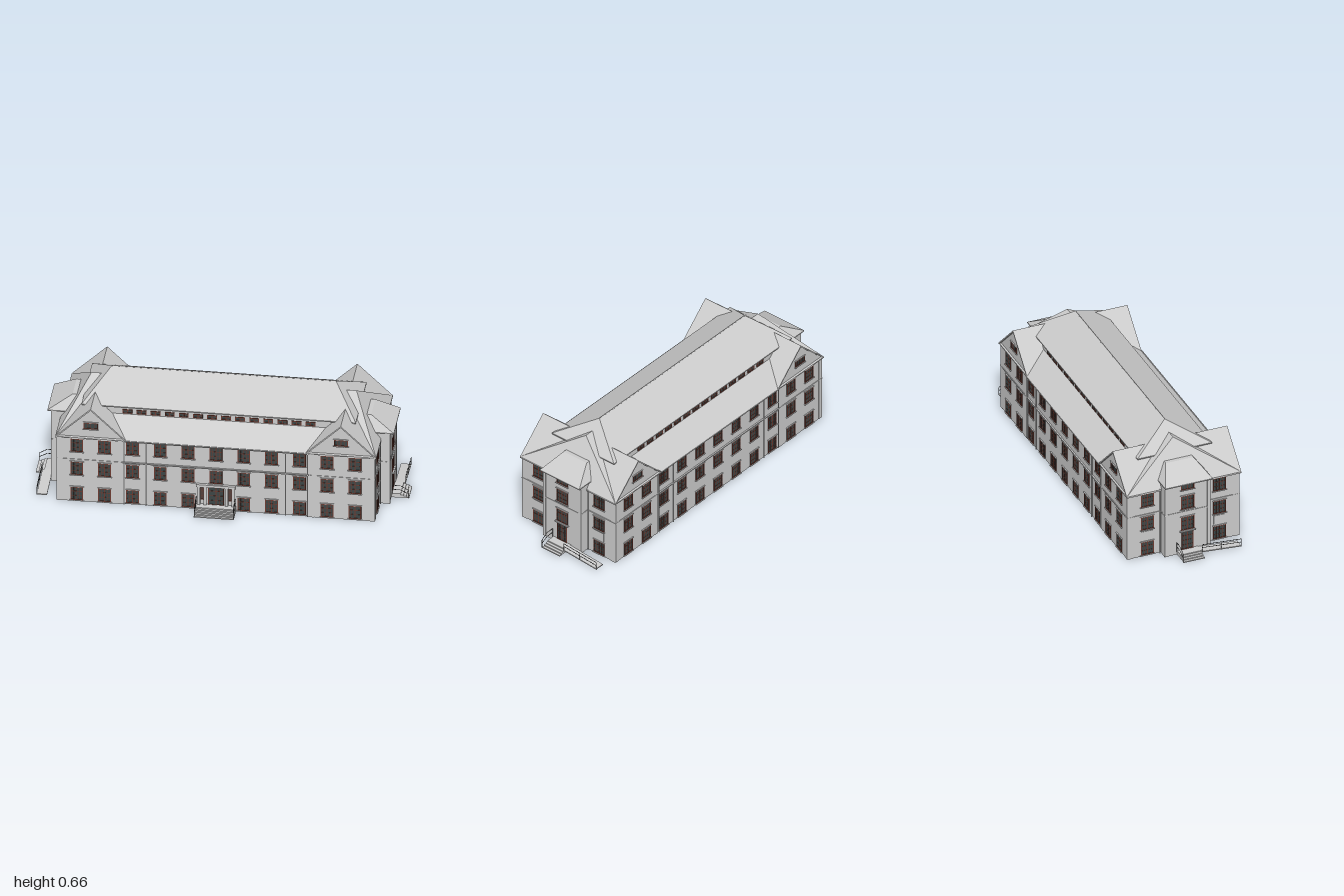
import * as THREE from 'three';
import { mergeGeometries } from 'three/addons/utils/BufferGeometryUtils.js';

const mat = (color) => new THREE.MeshStandardMaterial({ color, flatShading: true });
const wallMat = mat(0xcccccc);
const roofMat = new THREE.MeshStandardMaterial({ color: 0xcccccc, flatShading: true, side: THREE.DoubleSide });
const frameMat = mat(0x6b3a30), glassMat = mat(0x3c4646), railMat = mat(0x4a4a4a);

function add(parent, name, geometry, material = wallMat) {
  const mesh = new THREE.Mesh(geometry, material);
  mesh.name = name;
  parent.add(mesh);
  return mesh;
}

// Box given by its low and high limits on each axis
function boxGeo(x0, x1, y0, y1, z0, z1) {
  return new THREE.BoxGeometry(x1 - x0, y1 - y0, z1 - z0)
    .translate((x0 + x1) / 2, (y0 + y1) / 2, (z0 + z1) / 2);
}
const box = (parent, name, limits, material) => add(parent, name, boxGeo(...limits), material);

// Roof plane: a convex polygon given a small thickness downwards
function slab(parent, name, pts, t = 0.006) {
  const pos = [], n = pts.length;
  const low = pts.map(([x, y, z]) => [x, y - t, z]);
  for (let i = 1; i < n - 1; i++) {
    pos.push(...pts[0], ...pts[i], ...pts[i + 1], ...low[0], ...low[i + 1], ...low[i]);
  }
  for (let i = 0; i < n; i++) {
    const j = (i + 1) % n;
    pos.push(...pts[i], ...low[i], ...low[j], ...pts[i], ...low[j], ...pts[j]);
  }
  const g = new THREE.BufferGeometry();
  g.setAttribute('position', new THREE.Float32BufferAttribute(pos, 3));
  g.computeVertexNormals();
  return add(parent, name, g, roofMat);
}

// Thin rod through a list of points
function rod(parent, name, pts, r = 0.0016, material = railMat) {
  const parts = [];
  for (let i = 0; i < pts.length - 1; i++) {
    const a = new THREE.Vector3(...pts[i]), b = new THREE.Vector3(...pts[i + 1]);
    parts.push(new THREE.TubeGeometry(new THREE.LineCurve3(a, b), 1, r, 6));
  }
  return add(parent, name, mergeGeometries(parts), material);
}

// Window or door on a wall facing +z; y is its lower edge
function opening(parent, name, x, y, z, w, h, { rows = 3, cols = 4, sill = true } = {}) {
  const g = new THREE.Group();
  g.name = name;
  g.position.set(x, y, z);
  parent.add(g);
  const a = w / 2, f = 0.005, bars = [
    boxGeo(-a, -a + f, 0, h, 0, 0.004), boxGeo(a - f, a, 0, h, 0, 0.004),
    boxGeo(-a, a, 0, f, 0, 0.004), boxGeo(-a, a, h - f, h, 0, 0.004)];
  for (let i = 1; i < cols; i++) {
    const p = -a + (w * i) / cols, t = i * 2 === cols ? 0.0025 : 0.001;
    bars.push(boxGeo(p - t, p + t, 0, h, 0, 0.003));
  }
  for (let i = 1; i < rows; i++) {
    const p = (h * i) / rows, t = i === rows - 1 ? 0.002 : 0.001;
    bars.push(boxGeo(-a, a, p - t, p + t, 0, 0.003));
  }
  add(g, 'frame', mergeGeometries(bars), frameMat);
  box(g, 'glass', [-a, a, 0, h, -0.002, 0.0015], glassMat);
  if (sill) add(g, 'sillAndLintel', mergeGeometries([
    boxGeo(-a - 0.005, a + 0.005, -0.004, 0, -0.002, 0.008),
    boxGeo(-a - 0.004, a + 0.004, h, h + 0.004, -0.002, 0.006)]));
}

const ROWS = [[0.008, 0.08], [0.163, 0.08], [0.305, 0.08]];
const EAVE = 0.395, HALF_Z = 0.331, STEP = 0.149;

// Long facade facing +z: windows, gable ends, bands, downpipes, roof planes
function longSide(hasEntrance) {
  const g = new THREE.Group();
  g.name = hasEntrance ? 'frontFacade' : 'backFacade';
  for (let k = -5; k <= 5; k++) {
    ROWS.forEach(([y, h], row) => {
      if (hasEntrance && k === 0 && row === 0) return;
      opening(g, 'window', k * STEP, y, Math.abs(k) >= 4 ? 0.323 : 0.318, 0.068, h);
    });
  }
  box(g, 'floorBand', [-0.854, 0.854, 0.253, 0.259, 0.31, 0.326]);
  box(g, 'eaveCornice', [-0.5, 0.5, 0.385, EAVE, 0.31, 0.329]);
  for (const s of [-1, 1]) {
    box(g, 'endBay', s > 0 ? [0.5, 0.85, 0, EAVE, 0.3, 0.323] : [-0.85, -0.5, 0, EAVE, 0.3, 0.323]);
    for (const x of [0.513, 0.838]) box(g, 'cornerStrip', [s * x - 0.012, s * x + 0.012, 0, EAVE, 0.31, 0.325]);
    for (const x of [0.492, 0.373]) rod(g, 'downpipe', [[s * x, 0, 0.324], [s * x, 0.39, 0.324]], 0.003, wallMat);

    // Gable wall with its window
    const tri = new THREE.Shape([[-0.18, 0], [0.18, 0], [0, 0.17]].map((p) => new THREE.Vector2(...p)));
    const gable = add(g, 'gableWall', new THREE.ExtrudeGeometry(tri, { depth: 0.02, bevelEnabled: false }));
    gable.position.set(s * 0.67, EAVE, 0.303);
    opening(g, 'gableWindow', s * 0.67, 0.45, 0.323, 0.075, 0.038, { rows: 1 });
    for (const e of [-1, 1]) {
      const x = s * 0.67 + e * 0.19;
      slab(g, 'gableRoof', [[x, EAVE, HALF_Z], [s * 0.67, 0.575, HALF_Z], [s * 0.67, 0.575, 0.03], [x, EAVE, 0.03]], 0.009);
    }
  }
  // Lower roof, clerestory strip and upper roof
  slab(g, 'lowerRoof', [[-0.86, EAVE, HALF_Z], [0.86, EAVE, HALF_Z], [0.71, 0.607, 0], [-0.71, 0.607, 0]]);
  rod(g, 'gutter', [[-0.49, EAVE, 0.333], [0.49, EAVE, 0.333]], 0.004, wallMat);
  box(g, 'clerestoryWall', [-0.6, 0.6, 0.43, 0.533, 0.1, 0.196]);
  for (let i = 0; i < 14; i++) {
    opening(g, 'clerestoryWindow', (i - 6.5) * 0.0755, 0.487, 0.196, 0.052, 0.024, { rows: 1, cols: 2, sill: false });
  }
  slab(g, 'upperRoof', [[-0.735, 0.535, 0.215], [0.735, 0.535, 0.215], [0.6, 0.658, 0], [-0.6, 0.658, 0]]);
  return g;
}

// End of the building facing +x: hips, pavilion, windows, steps and ramp
function endSide(name) {
  const g = new THREE.Group();
  g.name = name;
  slab(g, 'lowerHip', [[0.86, EAVE, HALF_Z], [0.86, EAVE, -HALF_Z], [0.71, 0.607, 0]]);
  slab(g, 'upperHip', [[0.735, 0.535, 0.215], [0.735, 0.535, -0.215], [0.6, 0.658, 0]]);
  box(g, 'floorBand', [0.84, 0.854, 0.253, 0.259, -0.325, 0.325]);
  box(g, 'eaveCornice', [0.84, 0.858, 0.387, EAVE, -0.329, 0.329]);

  // Pavilion and its hipped roof
  box(g, 'pavilion', [0.8, 0.905, 0, 0.435, -0.13, 0.13]);
  box(g, 'pavilionBand', [0.84, 0.908, 0.253, 0.259, -0.133, 0.133]);
  box(g, 'pavilionFascia', [0.79, 0.926, 0.432, 0.439, -0.136, 0.136]);
  slab(g, 'pavilionRoof', [[0.928, 0.438, 0.137], [0.928, 0.438, -0.137], [0.8, 0.513, -0.08], [0.8, 0.513, 0.08]]);
  slab(g, 'pavilionRoofTop', [[0.8, 0.513, 0.08], [0.8, 0.513, -0.08], [0.74, 0.513, -0.08], [0.74, 0.513, 0.08]]);
  for (const s of [-1, 1]) {
    slab(g, 'pavilionRoof', [[0.928, 0.438, s * 0.137], [0.8, 0.513, s * 0.08], [0.74, 0.513, s * 0.08], [0.76, 0.438, s * 0.137]]);
    box(g, 'pavilionStrip', [0.88, 0.908, 0, 0.432, s * 0.123 - 0.009, s * 0.123 + 0.009]);
    box(g, 'cornerStrip', [0.83, 0.853, 0, EAVE, s * 0.307 - 0.017, s * 0.307 + 0.017]);
    rod(g, 'downpipe', [[0.858, 0, s * 0.137], [0.858, 0.4, s * 0.137]], 0.003, wallMat);
    box(g, 'blindPanel', [0.84, 0.853, 0.1, 0.152, s * 0.209 - 0.034, s * 0.209 + 0.034]);
  }

  // Openings, laid out on a wall turned to face +x
  const wall = new THREE.Group();
  wall.name = 'endOpenings';
  wall.rotation.y = Math.PI / 2;
  g.add(wall);
  for (const s of [-1, 1]) ROWS.forEach(([y, h]) => opening(wall, 'window', s * 0.209, y, 0.85, 0.074, h));
  for (const [y, h, rows] of [[0.143, 0.082, 3], [0.273, 0.082, 3], [0.392, 0.034, 1]]) {
    opening(wall, 'pavilionWindow', 0, y, 0.905, 0.076, h, { rows });
  }
  opening(wall, 'sideDoor', 0, 0.024, 0.905, 0.068, 0.11, { rows: 4, sill: false });
  box(wall, 'doorCanopy', [-0.045, 0.045, 0.135, 0.14, 0.9, 0.918]);

  // Landing, steps, ramp and railings
  for (let i = 0; i < 4; i++) box(g, 'step', [0.9, 1 - i * 0.015, i * 0.006, (i + 1) * 0.006, -0.06, 0.06]);
  slab(g, 'ramp', [[0.91, 0.024, -0.06], [0.965, 0.024, -0.06], [0.965, 0.006, -0.285], [0.91, 0.006, -0.285]]);
  for (const [a, b] of [[0.065, 0.047], [0.047, 0.028]]) rod(g, 'rampRail', [[0.965, a, -0.06], [0.965, b, -0.285]]);
  for (const [z, y0, y1] of [[-0.06, 0.02, 0.065], [-0.17, 0.01, 0.056], [-0.285, 0, 0.047]]) {
    rod(g, 'railPost', [[0.965, y0, z], [0.965, y1, z]]);
  }
  rod(g, 'stepRail', [[0.91, 0.02, 0.063], [0.91, 0.075, 0.063], [0.955, 0.075, 0.063], [0.998, 0.05, 0.063], [0.998, 0, 0.063]]);
  rod(g, 'stepRail', [[0.91, 0.05, 0.063], [0.955, 0.05, 0.063], [0.998, 0.027, 0.063]]);
  return g;
}

// Main door with portal, steps and railings
function entrance() {
  const g = new THREE.Group();
  g.name = 'entrance';
  opening(g, 'mainDoor', 0, 0.03, 0.318, 0.084, 0.115, { rows: 4, sill: false });
  for (const s of [-1, 1]) {
    for (const x of [0.058, 0.092]) {
      box(g, 'portalPilaster', [s * x - 0.008, s * x + 0.008, 0.03, 0.145, 0.31, 0.331]);
    }
    opening(g, 'sideLight', s * 0.075, 0.06, 0.318, 0.016, 0.08, { cols: 1, rows: 3, sill: false });
    const x = s * 0.104;
    rod(g, 'stepRail', [[x, 0.03, 0.326], [x, 0.08, 0.326], [x, 0.08, 0.36], [x, 0.05, 0.409], [x, 0, 0.409]]);
    rod(g, 'stepRail', [[x, 0.055, 0.326], [x, 0.055, 0.36], [x, 0.027, 0.409]]);
    rod(g, 'railPost', [[x, 0.02, 0.36], [x, 0.08, 0.36]]);
  }
  box(g, 'portalLintel', [-0.105, 0.105, 0.143, 0.158, 0.31, 0.334]);
  for (let i = 0; i < 5; i++) {
    box(g, 'step', [-0.107, 0.107, i * 0.0066, (i + 1) * 0.0066, 0.3, 0.41 - i * 0.0125]);
  }
  return g;
}

export function createModel() {
  const model = new THREE.Group();
  model.name = 'building';
  const house = new THREE.Group();
  house.name = 'house';
  house.position.z = -0.04;
  model.add(house);

  box(house, 'mainWalls', [-0.85, 0.85, 0, EAVE, -0.318, 0.318]);
  const back = longSide(false), leftEnd = endSide('leftEnd'), rightEnd = endSide('rightEnd');
  back.rotation.y = rightEnd.rotation.y = Math.PI;
  house.add(longSide(true), back, leftEnd, rightEnd, entrance());
  rod(house, 'ridgeCap', [[-0.6, 0.658, 0], [0.6, 0.658, 0]], 0.003, wallMat);
  return model;
}
